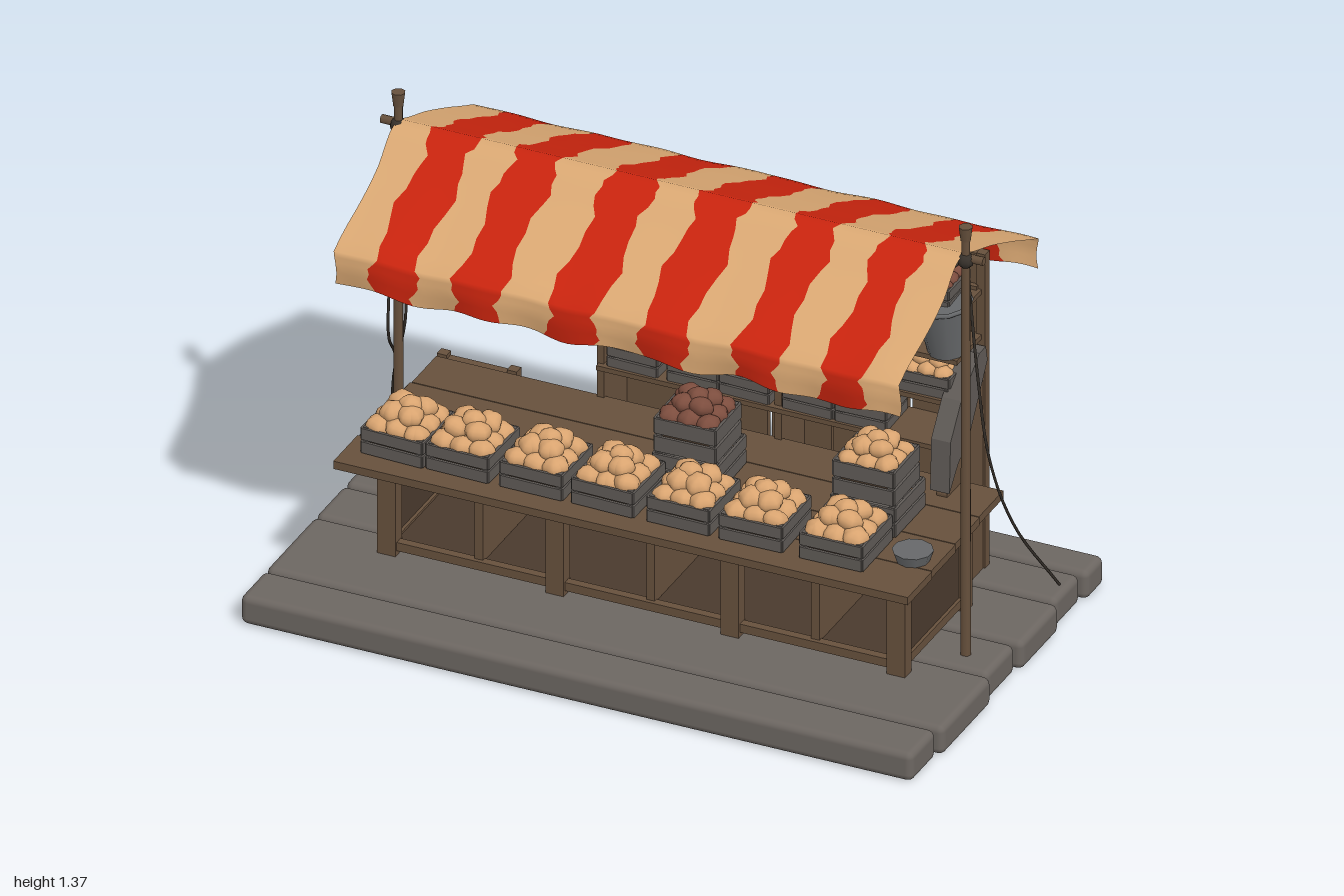
import * as THREE from 'three';
import { RoundedBoxGeometry } from 'three/addons/geometries/RoundedBoxGeometry.js';

const mat = (name, color, side = THREE.FrontSide) => {
  const m = new THREE.MeshStandardMaterial({ color, side });
  m.name = name;
  return m;
};

export function createModel() {
  const M = {
    wood: mat('brown wood', 0x66503c),
    dark: mat('dark wood', 0x4a3a2d),
    plank: mat('weathered grey planks', 0x6c6661),
    crate: mat('grey crate wood', 0x5f5a56),
    red: mat('red cloth', 0xc9240e, THREE.DoubleSide),
    cream: mat('cream cloth', 0xdaa873, THREE.DoubleSide),
    pumpkin: mat('pale pumpkin', 0xd9a470),
    rope: mat('dark rope', 0x38322c),
    lid: mat('reddish wood', 0x7c4d3e),
    metal: mat('grey metal', 0x66686a),
  };
  const root = new THREE.Group();
  let seed = 7;
  const rnd = () => (seed = (seed * 16807) % 2147483647) / 2147483647;
  const jit = (a) => (rnd() - 0.5) * 2 * a;

  const add = (name, geo, m, x = 0, y = 0, z = 0, parent = root) => {
    const mesh = new THREE.Mesh(geo, m);
    mesh.name = name;
    mesh.position.set(x, y, z);
    parent.add(mesh);
    return mesh;
  };
  const group = (name, x = 0, y = 0, z = 0, parent = root) => {
    const g = new THREE.Group();
    g.name = name;
    g.position.set(x, y, z);
    parent.add(g);
    return g;
  };
  // box given by its limits on each axis
  const box = (name, m, x0, x1, y0, y1, z0, z1, parent = root) =>
    add(name, new THREE.BoxGeometry(x1 - x0, y1 - y0, z1 - z0), m,
      (x0 + x1) / 2, (y0 + y1) / 2, (z0 + z1) / 2, parent);
  const tube = (name, m, pts, r) => add(name, new THREE.TubeGeometry(
    new THREE.CatmullRomCurve3(pts.map((p) => new THREE.Vector3(...p))), 24, r, 5), m);

  // platform planks
  [[-0.57, -0.465], [-0.455, -0.305], [-0.295, -0.07], [-0.06, 0.11], [0.115, 0.412], [0.42, 0.57]]
    .forEach(([a, b], i) => {
      const end = i % 2 ? 0.985 : 1;
      add('platformPlank', new RoundedBoxGeometry(end + 0.935, 0.086, b - a, 2, 0.02), M.plank,
        (end - 0.935) / 2, 0.043, (a + b) / 2);
    });

  // posts, finials and ridge beam
  for (const x of [-0.73, 0.89]) {
    add('post', new THREE.CylinderGeometry(0.012, 0.015, 1.26, 8), M.wood, x, 0.71, 0.04);
    add('finial', new THREE.CylinderGeometry(0.019, 0.014, 0.04, 8), M.wood, x, 1.345, 0.04);
    add('ropeKnot', new THREE.SphereGeometry(0.023, 8, 6), M.rope, x, 1.265, 0.04);
  }
  add('ridgeBeam', new THREE.CylinderGeometry(0.012, 0.012, 1.72, 8), M.wood, 0.08, 1.27, 0.035)
    .rotation.z = Math.PI / 2;

  // striped canopy: one strip of cloth per stripe, running hem to hem
  const profile = [[0.43, 0.995], [0.432, 1.045], [0.425, 1.09], [0.3, 1.148], [0.17, 1.215], [0.09, 1.26], [0.04, 1.285],
    [-0.02, 1.26], [-0.13, 1.215], [-0.27, 1.155], [-0.405, 1.092], [-0.41, 1.045], [-0.408, 0.995]];
  const edges = [-0.73, -0.625, -0.5, -0.39, -0.26, -0.12, 0.015, 0.14, 0.275, 0.41, 0.535, 0.66, 0.78, 0.885];
  const ROWS = 36, COLS = 6;
  const edgeAt = (i, r) => edges[i] +
    (i % 13 ? 0.011 * Math.sin(r * 0.9 + i * 2.1) + 0.006 * Math.sin(r * 2.3 + i) : 0.005 * Math.sin(r * 0.7));
  const clothPoint = (x, r) => {
    const t = (r / ROWS) * (profile.length - 1), k = Math.min(Math.floor(t), profile.length - 2), f = t - k;
    const z = profile[k][0] * (1 - f) + profile[k + 1][0] * f;
    const y = profile[k][1] * (1 - f) + profile[k + 1][1] * f;
    const loose = Math.abs(r / ROWS - 0.5) * 2;
    const wave = Math.sin(x * 17) + 0.6 * Math.sin(x * 31 + 1);
    return [x, y + 0.007 * loose ** 3 * wave, z + 0.008 * loose ** 4 * Math.sin(x * 23 + 2)];
  };
  const canopy = group('canopy');
  for (let i = 0; i < edges.length - 1; i++) {
    const pos = [], idx = [];
    for (let r = 0; r <= ROWS; r++) for (let c = 0; c <= COLS; c++) {
      const a = edgeAt(i, r), b = edgeAt(i + 1, r);
      pos.push(...clothPoint(a + (b - a) * c / COLS, r));
      if (r < ROWS && c < COLS) {
        const p = r * (COLS + 1) + c, q = p + COLS + 1;
        idx.push(p, p + 1, q, p + 1, q + 1, q);
      }
    }
    const geo = new THREE.BufferGeometry();
    geo.setAttribute('position', new THREE.Float32BufferAttribute(pos, 3));
    geo.setIndex(idx);
    geo.computeVertexNormals();
    add('canopyStripe', geo, i % 2 ? M.red : M.cream, 0, 0, 0, canopy);
  }

  // counter with open bays
  const counter = group('counter');
  [[0.203, 0.35], [0.052, 0.2], [-0.099, 0.049], [-0.25, -0.102]].forEach(([a, b], i) =>
    box('counterBoard', M.wood, -0.77 + 0.004 * i, 0.87 - 0.003 * i, 0.39, 0.413, a, b, counter));
  for (const x of [-0.68, -0.2, 0.3, 0.775])
    for (const z of [0.2, -0.17]) box('counterLeg', M.wood, x - 0.026, x + 0.026, 0.086, 0.39, z - 0.02, z + 0.02, counter);
  for (const x of [-0.425, 0.065, 0.535]) box('bayDivider', M.wood, x - 0.012, x + 0.012, 0.12, 0.37, -0.17, 0.2, counter);
  for (const [a, b] of [[0.1, 0.125], [0.362, 0.39]]) {
    for (const z of [0.2, -0.17]) box('longRail', M.wood, -0.7, 0.79, a, b, z - 0.012, z + 0.012, counter);
    for (const x of [-0.68, 0.775]) box('endRail', M.wood, x - 0.015, x + 0.015, a, b, -0.17, 0.2, counter);
  }
  box('bayFloor', M.dark, -0.68, 0.77, 0.105, 0.118, -0.165, 0.195, counter);
  box('bayBack', M.dark, -0.68, 0.77, 0.118, 0.37, -0.165, -0.155, counter);
  for (const x of [-0.68, 0.775]) box('endPanel', M.dark, x - 0.006, x + 0.006, 0.118, 0.37, -0.16, 0.19, counter);

  // ribbed pumpkin with a stem
  const ribbed = new THREE.SphereGeometry(1, 20, 8);
  const rp = ribbed.attributes.position;
  for (let i = 0; i < rp.count; i++) {
    const x = rp.getX(i), z = rp.getZ(i), k = 1 + 0.07 * Math.cos(5 * Math.atan2(z, x));
    rp.setXYZ(i, x * k, rp.getY(i) * 0.78, z * k);
  }
  ribbed.computeVertexNormals();
  const stemGeo = new THREE.CylinderGeometry(0.1, 0.16, 0.4, 5);
  const pumpkin = (x, y, z, r, m, stem, parent) => {
    const g = group('pumpkin', x, y, z, parent);
    g.scale.setScalar(r);
    g.rotation.set(jit(0.35), rnd() * 6, jit(0.35));
    add('pumpkinFlesh', ribbed, m, 0, 0, 0, g);
    if (stem) add('pumpkinStem', stemGeo, M.dark, 0, 0.9, 0, g).rotation.z = 0.3;
  };

  // slatted crate, optionally heaped with produce
  const crate = (x, y, z, w, h, d, fill, parent = root) => {
    const g = group('crate', x, y, z, parent), W = w / 2, D = d / 2, t = 0.008;
    g.rotation.y = jit(0.04);
    box('crateFloor', M.crate, -W, W, 0.002, 0.01, -D, D, g);
    for (const [a, b] of [[0.03, 0.47], [0.56, 1]]) for (const s of [-1, 1]) {
      box('crateSlat', M.crate, -W, W, a * h, b * h, s * D - t / 2, s * D + t / 2, g);
      box('crateSlat', M.crate, s * W - t / 2, s * W + t / 2, a * h, b * h, -D, D, g);
    }
    for (const sx of [-1, 1]) for (const sz of [-1, 1])
      box('crateCorner', M.crate, sx * (W - 0.01) - 0.008, sx * (W - 0.01) + 0.008, 0, h + 0.002, sz * (D - 0.01) - 0.008, sz * (D - 0.01) + 0.008, g);
    if (!fill) return;
    const r = Math.min(w, d) * 0.2;
    box('crateLining', M.dark, -W + t, W - t, 0.3 * h, 0.6 * h, -D + t, D - t, g);
    for (let i = -1; i <= 1; i++) for (let j = -1; j <= 1; j++)
      pumpkin(i * w * 0.31, h * 0.98 + jit(0.005), j * d * 0.31, r, fill, false, g);
    for (const [i, j] of [[-1, -1], [1, -1], [-1, 1], [1, 1]])
      pumpkin(i * w * 0.16 + jit(0.006), h + r * 0.95, j * d * 0.16, r, fill, false, g);
    pumpkin(jit(0.01), h + r * 1.4, 0, r * 0.9, fill, false, g);
  };

  // goods on the counter
  for (const x of [-0.63, -0.445, -0.235, -0.03, 0.185, 0.39, 0.62]) crate(x, 0.414, 0.195, 0.175, 0.075, 0.18, M.pumpkin);
  for (const [x, m] of [[0.62, M.pumpkin], [0.11, M.lid]]) {
    crate(x, 0.414, 0.0, 0.18, 0.085, 0.18, null);
    crate(x, 0.505, 0.01, 0.17, 0.1, 0.16, m);
  }
  add('plate', new THREE.CylinderGeometry(0.055, 0.045, 0.03, 10), M.metal, 0.8, 0.43, 0.17);

  // back wall of uneven boards
  const wall = group('backWall');
  [[-0.29, -0.07, 1.01], [-0.062, 0.13, 1.03], [0.14, 0.31, 1.0], [0.317, 0.53, 1.03], [0.54, 0.745, 1.02]]
    .forEach(([a, b, top], i) => box('wallBoard', M.wood, a, b, 0.086, top, -0.4 + (i % 2) * 0.008, -0.38 + (i % 2) * 0.008, wall));
  for (const y of [0.25, 0.9]) box('wallBatten', M.wood, -0.28, 0.73, y, y + 0.03, -0.38, -0.365, wall);

  // shelving
  const shelves = group('shelving');
  box('shelfSide', M.wood, -0.295, -0.275, 0.086, 1.0, -0.38, -0.24, shelves);
  box('shelfDivider', M.wood, 0.212, 0.232, 0.086, 1.0, -0.38, -0.24, shelves);
  for (const y of [0.5, 0.64, 0.77, 0.905]) {
    box('shelfBoard', M.wood, -0.29, 0.22, y, y + 0.014, -0.38, -0.225, shelves);
    box('shelfBoard', M.wood, 0.22, 0.74, y, y + 0.014, -0.38, -0.225, shelves);
    if (y > 0.6) [-0.215, -0.1, 0.01, 0.135].forEach((x) =>
      pumpkin(x + jit(0.008), y + 0.05, -0.295, 0.047 + jit(0.004), M.pumpkin, true, shelves));
  }
  for (const [x, y, m] of [[0.305, 0.784, M.pumpkin], [0.305, 0.654, M.red], [0.465, 0.654, M.lid], [0.465, 0.784, null],
    [0.31, 0.514, null], [0.46, 0.514, null], [0.64, 0.919, M.lid], [0.33, 0.919, null], [0.49, 0.919, M.lid],
    [0.64, 0.654, M.pumpkin], [-0.19, 0.514, null], [-0.02, 0.514, null], [0.13, 0.514, null]])
    crate(x, y, -0.3, 0.14, 0.06, 0.13, m, shelves);
  for (let i = 0; i < 8; i++)
    add('hook', new THREE.TorusGeometry(0.014, 0.003, 4, 10, 4.5), M.rope, -0.25 + i * 0.045, 0.61, -0.22, shelves);

  // end panel and cloth draped over it
  const endSlab = (name, m, pts, x0, w) => {
    const geo = new THREE.ExtrudeGeometry(new THREE.Shape(pts.map(([z, y]) => new THREE.Vector2(-z, y))),
      { depth: w, bevelEnabled: false });
    add(name, geo, m, x0).rotation.y = Math.PI / 2;
  };
  endSlab('shelfEndPanel', M.wood,
    [[-0.19, 0.086], [-0.38, 0.086], [-0.38, 0.75], [-0.34, 0.75], [-0.2, 0.62], [-0.155, 0.42]], 0.715, 0.03);
  endSlab('drapedCloth', M.crate,
    [[-0.148, 0.43], [-0.2, 0.49], [-0.27, 0.54], [-0.38, 0.71], [-0.37, 0.755], [-0.33, 0.755], [-0.22, 0.67], [-0.155, 0.58]], 0.70, 0.055);
  box('endPost', M.wood, 0.725, 0.75, 0.086, 1.025, -0.402, -0.375);

  // hanging bucket on a bracket
  const bucket = group('bucket', 0.69, 0.86, -0.26);
  bucket.rotation.set(0.08, 0, 0.06);
  add('bucketBody', new THREE.CylinderGeometry(0.075, 0.052, 0.15, 12), M.metal, 0, 0, 0, bucket);
  add('bucketRim', new THREE.TorusGeometry(0.075, 0.006, 6, 14), M.metal, 0, 0.075, 0, bucket).rotation.x = Math.PI / 2;
  tube('bucketHandle', M.rope, [[0.69, 0.93, -0.335], [0.69, 1.0, -0.24], [0.69, 1.02, -0.2], [0.69, 0.93, -0.19]], 0.005);
  tube('bracket', M.rope, [[0.73, 1.01, -0.38], [0.72, 1.04, -0.3], [0.69, 1.025, -0.2]], 0.006);
  add('bracketKnob', new THREE.SphereGeometry(0.019, 8, 6), M.dark, 0.69, 1.02, -0.2);

  // storage crate with framed edges and reddish lid
  const store = group('storageCrate', -0.73, 0.086, -0.35);
  box('storagePanels', M.crate, -0.095, 0.095, 0.01, 0.19, -0.095, 0.095, store);
  box('storageLid', M.lid, -0.1, 0.1, 0.19, 0.202, -0.1, 0.1, store);
  for (const a of [-0.1, 0.1]) {
    for (const b of [-0.1, 0.1]) box('storagePost', M.wood, a - 0.014, a + 0.014, 0, 0.215, b - 0.014, b + 0.014, store);
    for (const y of [0.015, 0.18]) {
      box('storageRail', M.wood, -0.1, 0.1, y, y + 0.024, a - 0.011, a + 0.011, store);
      box('storageRail', M.wood, a - 0.011, a + 0.011, y, y + 0.024, -0.1, 0.1, store);
    }
  }

  // guy ropes
  tube('guyRope', M.rope, [[-0.73, 1.25, 0.04], [-0.738, 0.95, 0.06], [-0.75, 0.67, 0.06], [-0.86, 0.4, -0.22], [-0.995, 0.05, -0.5]], 0.004);
  tube('guyRope', M.rope, [[-0.73, 1.25, 0.03], [-0.74, 0.9, -0.01], [-0.76, 0.64, -0.07], [-0.87, 0.34, -0.23], [-0.955, 0.06, -0.4]], 0.004);
  tube('guyRope', M.rope, [[0.89, 1.25, 0.03], [0.9, 0.9, -0.01], [0.905, 0.62, -0.07], [0.91, 0.33, -0.22], [0.96, 0.088, -0.38]], 0.004);
  return root;
}
